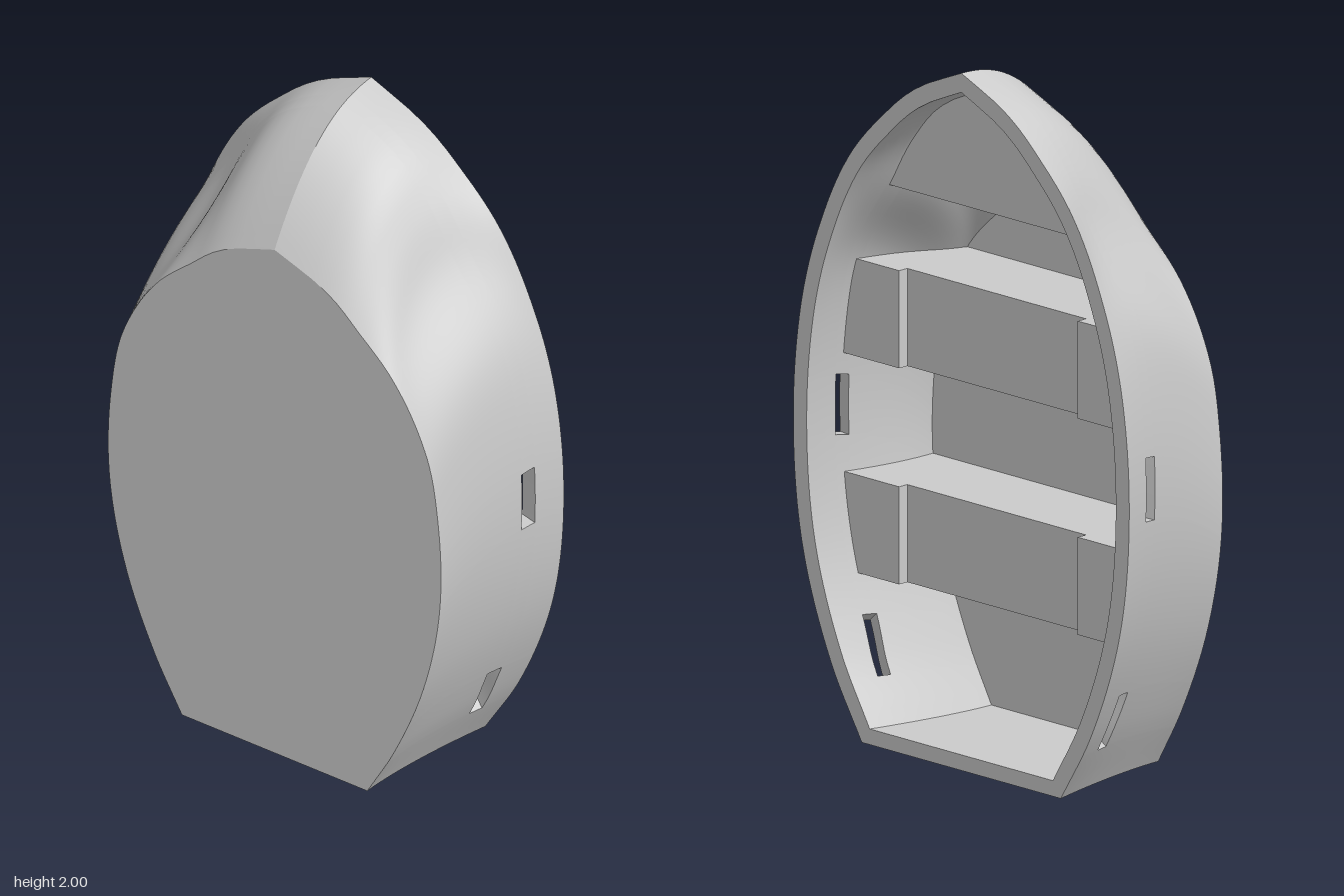
import * as THREE from 'three';

const DEPTH = 0.45, BACK = -0.225, FLOOR = 0.18;
const lerp = THREE.MathUtils.lerp, clamp = THREE.MathUtils.clamp;
const mat = new THREE.MeshStandardMaterial({ color: 0xcccccc });
const matBoth = new THREE.MeshStandardMaterial({ color: 0xcccccc, side: THREE.DoubleSide });

// Half widths from transom (0) to stem (1), at the rim and at the flat bottom
const stations = [0, 0.1, 0.25, 0.42, 0.6, 0.72, 0.84, 0.9, 0.965, 1];
const curve = (v) => {
  const c = new THREE.CubicInterpolant(stations, v, 1, new Float32Array(1));
  return (f) => c.evaluate(clamp(f, 0, 1))[0];
};
const rimHalf = curve([0.39, 0.508, 0.618, 0.658, 0.63, 0.56, 0.435, 0.325, 0.16, 0]);
const bottomHalf = curve([0.317, 0.41, 0.51, 0.565, 0.557, 0.515, 0.4, 0.295, 0.155, 0]);

// t runs from the bottom (0) to the rim (1): sides flare, the bow has hollow
// shoulders and a rounded stem
function half(f, t) {
  const hollow = 0.075 * Math.exp(-(((f - 0.82) / 0.08) ** 2)) * 4 * t * (1 - t);
  return Math.max(0, lerp(bottomHalf(f), rimHalf(f), Math.pow(t, 1.6)) - hollow);
}
const tipY = (t) => 1.67 + 0.33 * (1 - Math.pow(1 - t, 2.35));

// Slots as ranges [f0, f1] along the hull, sharing one range of t
const slots = [[0.066, 0.151], [0.413, 0.505]];
const slotT = [0.69, 0.79];

// Point on the outer or inner skin; the rows lean a little at the lower slot
function skin(s, f, t, inner) {
  const d = (f - 0.109) * 2;
  const k = t - 0.3 * d * Math.exp(-((d / 0.13) ** 2)) * 4 * t * (1 - t);
  const x = s * half(f, k);
  return inner
    ? [x * 0.92, 0.045 + f * (tipY(k) - 0.1), lerp(FLOOR, BACK, k)]
    : [x, f * tipY(k), lerp(BACK + DEPTH, BACK, k)];
}

// Half width of the inside at a given height and depth
function insideHalf(y, z) {
  const t = clamp((FLOOR - z) / (FLOOR - BACK), 0, 1);
  return 0.92 * half((y - 0.045) / (tipY(t) - 0.1), t);
}

// Surface from a point rule over two lists of parameters
function grid(us, vs, rule, flip, skip = () => false) {
  const pos = [], idx = [], n = vs.length;
  us.forEach((u) => vs.forEach((v) => pos.push(...rule(u, v))));
  for (let i = 0; i < us.length - 1; i++) {
    for (let j = 0; j < n - 1; j++) {
      if (skip((us[i] + us[i + 1]) / 2, (vs[j] + vs[j + 1]) / 2)) continue;
      const a = i * n + j, b = a + n, c = b + 1, d = a + 1;
      if (flip) idx.push(a, c, b, a, d, c);
      else idx.push(a, b, c, a, c, d);
    }
  }
  const g = new THREE.BufferGeometry();
  g.setAttribute('position', new THREE.Float32BufferAttribute(pos, 3));
  g.setIndex(idx);
  g.computeVertexNormals();
  return g;
}

const steps = (n, extra) =>
  [...new Set([...Array.from({ length: n + 1 }, (_, i) => i / n), ...extra])].sort((a, b) => a - b);
const F = steps(72, slots.flat());
const T = steps(20, slotT);
const E = [0, 1];
const inSlot = (f, t) =>
  t > slotT[0] && t < slotT[1] && slots.some(([a, b]) => f > a && f < b);

function add(group, name, geometry, material = mat) {
  const m = new THREE.Mesh(geometry, material);
  m.name = name;
  group.add(m);
}

// Box whose outer ends are drawn out to the hull sides
function fittedBox(x0, x1, y0, y1, z0, z1, fits) {
  const g = new THREE.BoxGeometry(x1 - x0, y1 - y0, z1 - z0, 1, 16, 10);
  g.translate((x0 + x1) / 2, (y0 + y1) / 2, (z0 + z1) / 2);
  const p = g.attributes.position;
  for (let i = 0; i < p.count; i++) {
    const x = p.getX(i), z = p.getZ(i);
    if (!fits(x)) continue;
    const t = clamp((FLOOR - z) / (FLOOR - BACK), 0, 1);
    const y = Math.min(p.getY(i), tipY(t) - 0.055);
    p.setXYZ(i, Math.sign(x) * (insideHalf(y, z) + 0.012), y, z);
  }
  g.computeVertexNormals();
  return g;
}

export function createModel() {
  const boat = new THREE.Group();
  boat.name = 'boat';

  // Hull sides, rim and slot edges
  for (const s of [1, -1]) {
    const side = s > 0 ? 'left' : 'right';
    add(boat, side + 'OuterSide', grid(F, T, (f, t) => skin(s, f, t, false), s > 0, inSlot));
    add(boat, side + 'InnerSide', grid(F, T, (f, t) => skin(s, f, t, true), s < 0, inSlot));
    add(boat, side + 'Rim', grid(F, E, (f, k) => skin(s, f, 1, k === 1), s > 0));
    for (const [a, b] of slots) {
      const fs = F.filter((f) => f >= a && f <= b);
      const ts = T.filter((t) => t >= slotT[0] && t <= slotT[1]);
      for (const f of [a, b]) add(boat, side + 'SlotEnd', grid(ts, E, (t, k) => skin(s, f, t, k === 1)), matBoth);
      for (const t of slotT) add(boat, side + 'SlotEdge', grid(fs, E, (f, k) => skin(s, f, t, k === 1)), matBoth);
    }
  }

  // Flat bottom and transom, outside and inside
  for (const inner of [false, true]) {
    const where = inner ? 'inner' : 'outer';
    add(boat, where + 'Bottom', grid(F, E, (f, k) => skin(k ? 1 : -1, f, 0, inner), !inner));
    add(boat, where + 'Transom', grid(T, E, (t, k) => skin(k ? 1 : -1, 0, t, inner), inner));
  }
  add(boat, 'transomRim', grid(E, E, (u, k) => skin(k ? 1 : -1, 0, 1, u === 1), false));

  // Benches: a middle board with slightly raised end blocks
  for (const y of [0.44, 1.06]) {
    const bench = new THREE.Group();
    bench.name = 'bench';
    add(bench, 'benchMiddle', fittedBox(-0.35, 0.35, y, y + 0.28, -0.088, 0.19, () => false));
    for (const s of [1, -1]) {
      const xs = [s * 0.35, s * 0.55].sort((a, b) => a - b);
      add(bench, 'benchEnd', fittedBox(xs[0], xs[1], y, y + 0.28, -0.12, 0.19, (x) => Math.abs(x) > 0.4));
    }
    boat.add(bench);
  }

  // Solid deck in the bow
  add(boat, 'bowDeck', fittedBox(-0.3, 0.3, 1.585, 1.945, -0.135, 0.19, () => true));
  return boat;
}
